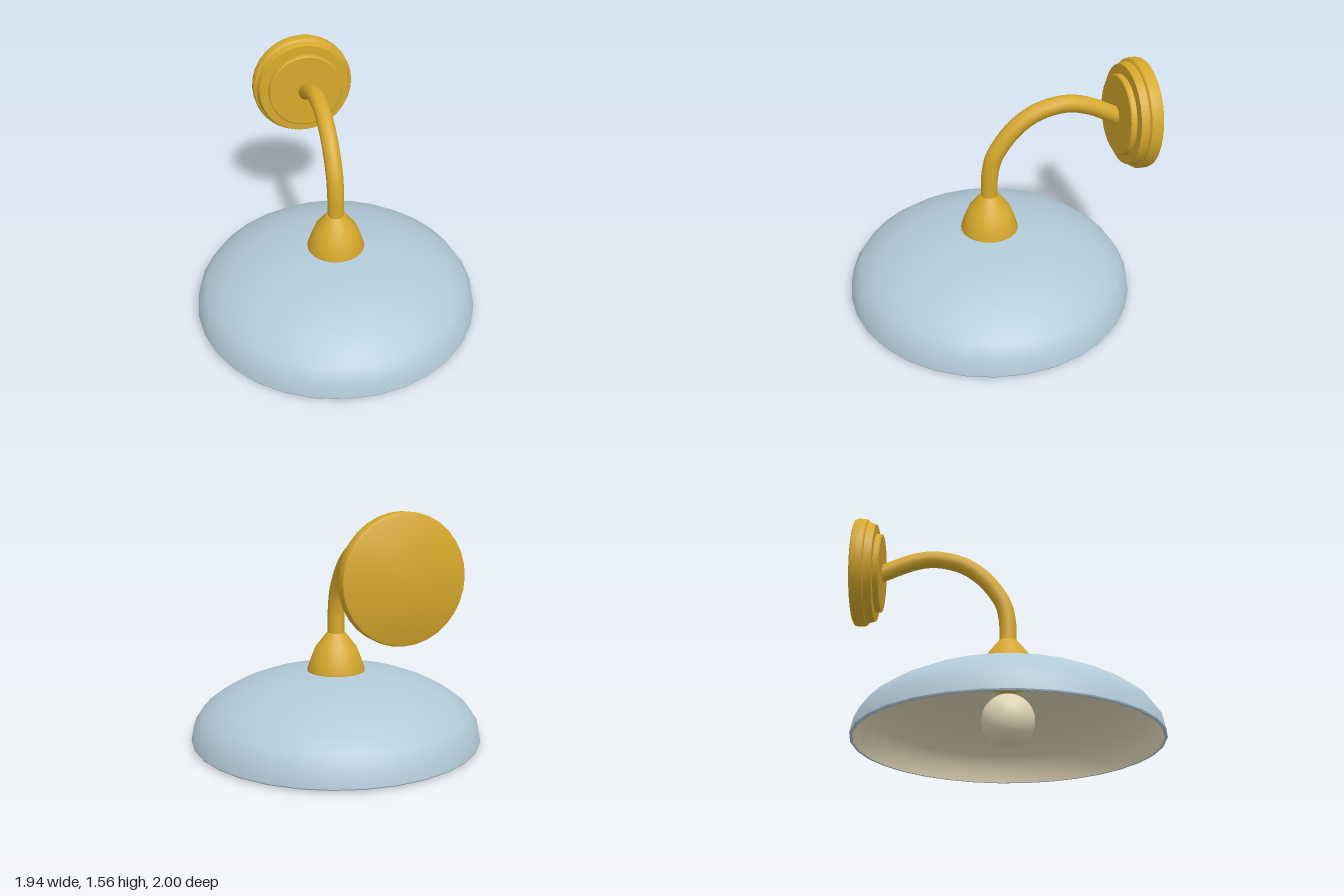
import * as THREE from 'three';
import { toCreasedNormals } from 'three/addons/utils/BufferGeometryUtils.js';

const AXIS_Z = 0.028; // shade, cup and bulb share this vertical axis

export function createModel() {
  const mat = (name, color, side = THREE.FrontSide) => {
    const m = new THREE.MeshStandardMaterial({ color, side });
    m.name = name;
    return m;
  };
  const brass = mat('brass', 0xd6a82c);
  const blue = mat('pale blue enamel', 0xb2c9d7);
  const cream = mat('cream', 0xe0d5b6);

  const group = new THREE.Group();
  const add = (name, geometry, material, x = 0, y = 0, z = 0) => {
    const mesh = new THREE.Mesh(geometry, material);
    mesh.name = name;
    mesh.position.set(x, y, z);
    group.add(mesh);
    return mesh;
  };
  // Turned part from [radius, height] pairs; upward profiles face outward
  const turned = (pairs, crease = 0.55) => toCreasedNormals(
    new THREE.LatheGeometry(pairs.map(([r, h]) => new THREE.Vector2(r, h)), 32), crease);

  // Shade: outer shell with a rolled lip, then the cream lining
  const outer = [
    [0.97, 0.02], [0.952, 0.115], [0.896, 0.2], [0.805, 0.27], [0.69, 0.334],
    [0.55, 0.39], [0.38, 0.432], [0.2, 0.456], [0.05, 0.462],
  ];
  add('shadeOuter', turned([[0.95, 0.012], [0.966, 0.012], ...outer]), blue, 0, 0, AXIS_Z);
  const inner = outer.map(([r, h]) => [r - 0.02 * r, h - 0.015 * (1 - r * 0.5)]).reverse();
  inner[inner.length - 1] = [0.95, 0.012];
  add('shadeLining', turned(inner), cream, 0, 0, AXIS_Z);

  // Cup over the shade, its underside showing inside
  add('cup', turned([
    [0, 0.418], [0.175, 0.418], [0.175, 0.455], [0.192, 0.457], [0.192, 0.468],
    [0.168, 0.54], [0.138, 0.615], [0.062, 0.713], [0, 0.716],
  ]), brass, 0, 0, AXIS_Z);

  // Bulb
  add('bulb', new THREE.SphereGeometry(0.17, 32, 20), cream, 0, 0.17, AXIS_Z);

  // Gooseneck arm from the cup up and back to the wall
  const path = new THREE.CatmullRomCurve3([
    [0.69, 0.028], [0.78, 0.028], [0.86, 0.025], [0.98, 0], [1.1, -0.07], [1.2, -0.16],
    [1.28, -0.285], [1.318, -0.47], [1.294, -0.61], [1.203, -0.813], [1.19, -0.84],
  ].map(([y, z]) => new THREE.Vector3(0, y, z)));
  add('arm', new THREE.TubeGeometry(path, 40, 0.057, 12), brass);

  // Stepped round wall plate, turned to face forward
  const plate = add('wallPlate', turned([
    [0, 0], [0.348, 0], [0.359, 0.006], [0.363, 0.018], [0.363, 0.07], [0.357, 0.082],
    [0.343, 0.09], [0.328, 0.138], [0.266, 0.14], [0.266, 0.172], [0.259, 0.179], [0, 0.179],
  ]), brass, 0, 1.2, -1);
  plate.rotation.x = Math.PI / 2;

  return group;
}
